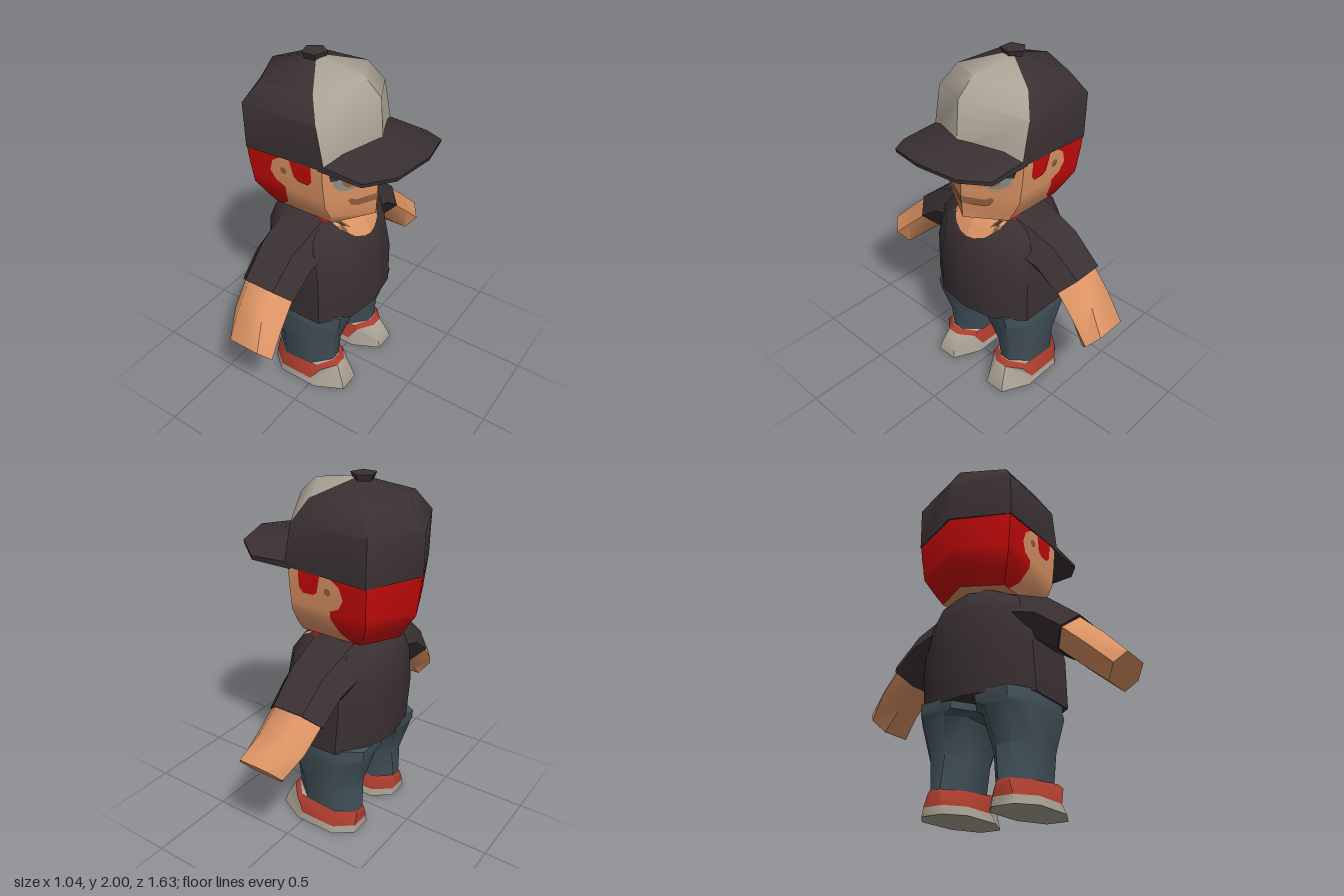
import * as THREE from 'three';
import { toCreasedNormals } from 'three/addons/utils/BufferGeometryUtils.js';

const mat = (name, color) => Object.assign(new THREE.MeshStandardMaterial({ color }), { name });
const dark = mat('charcoal', 0x3a3032), grey = mat('warmGrey', 0xaaa294), skin = mat('skin', 0xdd9465);
const red = mat('hairRed', 0xc60a0a), denim = mat('denim', 0x43525a), shoeRed = mat('shoeRed', 0xac3d2e);
const brown = mat('brown', 0x98613f), eyeGrey = mat('eyeGrey', 0x8e9090);

// Closed skin over rings of [x, y, z]; pick(row, col) chooses a material index
function loft(name, rings, mats, pick = () => 0, crease = 0.9) {
  const n = rings[0].length, P = rings.flat(), tris = mats.map(() => []);
  for (let r = 0; r < rings.length - 1; r++) for (let c = 0; c < n; c++) {
    const a = r * n + c, b = r * n + (c + 1) % n;
    tris[pick(r, c)].push([a, b, b + n], [a, b + n, a + n]);
  }
  const last = (rings.length - 1) * n;
  for (let c = 1; c < n - 1; c++) tris[0].push([0, c + 1, c], [last, last + c, last + c + 1]);
  const v = P.map(p => new THREE.Vector3(...p));
  const volume = tris.flat().reduce((s, [a, b, c]) => s + v[a].dot(v[b].clone().cross(v[c])), 0);
  const g = new THREE.BufferGeometry(), index = [];
  tris.forEach((list, m) => {
    g.addGroup(index.length, list.length * 3, m);
    list.forEach(([a, b, c]) => index.push(...(volume > 0 ? [a, b, c] : [a, c, b])));
  });
  g.setAttribute('position', new THREE.Float32BufferAttribute(P.flat(), 3));
  g.setIndex(index);
  const mesh = new THREE.Mesh(toCreasedNormals(g, crease), mats);
  mesh.name = name;
  return mesh;
}

// Thin painted plate: a 2D outline, subdivided and mapped onto a surface
function decal(name, outline, material, map, out) {
  const flat = new THREE.ShapeGeometry(new THREE.Shape(outline.map(p => new THREE.Vector2(...p)))).toNonIndexed();
  const pts = [], p = flat.attributes.position;
  for (let i = 0; i < p.count; i++) pts.push([p.getX(i), p.getY(i)]);
  let tris = [];
  for (let i = 0; i < pts.length; i += 3) tris.push(pts.slice(i, i + 3));
  const mid = (a, b) => [(a[0] + b[0]) / 2, (a[1] + b[1]) / 2];
  for (let k = 0; k < 2; k++) tris = tris.flatMap(([a, b, c]) => {
    const d = mid(a, b), e = mid(b, c), f = mid(c, a);
    return [[a, d, f], [d, b, e], [f, e, c], [d, e, f]];
  });
  const pos = tris.flatMap(t => {
    const [a, b, c] = t.map(q => new THREE.Vector3(...map(...q)));
    const normal = b.clone().sub(a).cross(c.clone().sub(a));
    return (normal.dot(out) > 0 ? [a, b, c] : [a, c, b]).flatMap(q => q.toArray());
  });
  const g = new THREE.BufferGeometry();
  g.setAttribute('position', new THREE.Float32BufferAttribute(pos, 3));
  g.computeVertexNormals();
  const mesh = new THREE.Mesh(g, material);
  mesh.name = name;
  return mesh;
}

// Full ring from a half profile running back centre to front centre
const mirrorRing = h => [...h, ...h.slice(1, -1).reverse().map(([x, y, z]) => [x, y, -z])];
const lerp = THREE.MathUtils.lerp;

// Half profile at height y, and the front surface x at (y, z)
function halfAt(rows, y) {
  let i = 0;
  while (i < rows.length - 2 && rows[i + 1][0][1] > y) i++;
  const a = rows[i], b = rows[i + 1];
  const t = THREE.MathUtils.clamp((a[0][1] - y) / (a[0][1] - b[0][1]), 0, 1);
  return a.map((p, k) => p.map((q, j) => lerp(q, b[k][j], t)));
}
function frontX(rows, y, z) {
  const h = halfAt(rows, y);
  let k = h.length - 1;
  while (k > 1 && h[k - 1][2] < Math.abs(z)) k--;
  return lerp(h[k][0], h[k - 1][0], Math.min(1, (Math.abs(z) - h[k][2]) / (h[k - 1][2] - h[k][2])));
}

// Eight-sided ring with cut corners
const oct = (y, xb, xf, zi, zo, eb = 0.1, ef = 0.1, d = 0.08) => [
  [xb, y, zi + d], [xb, y, zo - d], [xb + eb, y, zo], [xf - ef, y, zo],
  [xf, y, zo - d], [xf, y, zi + d], [xf - ef, y, zi], [xb + eb, y, zi]];
const ellipse = (cx, cy, rx, ry, a0 = 0, a1 = 2 * Math.PI) => Array.from({ length: 14 }, (_, i) => {
  const a = lerp(a0, a1, i / (a1 - a0 > 6 ? 14 : 13));
  return [cx + rx * Math.cos(a), cy + ry * Math.sin(a)];
});

export function createModel() {
  const model = new THREE.Group();
  const front = new THREE.Vector3(1, 0, 0);

  // Head: y, back, back corner, hairline, front corner, front, half width
  const headRows = [
    [1.62, -0.51, -0.38, -0.15, 0.09, 0.235, 0.305],
    [1.54, -0.51, -0.38, -0.16, 0.09, 0.235, 0.305],
    [1.50, -0.51, -0.38, -0.22, 0.09, 0.235, 0.303],
    [1.435, -0.505, -0.375, -0.24, 0.09, 0.233, 0.298],
    [1.38, -0.50, -0.37, -0.21, 0.09, 0.231, 0.291],
    [1.355, -0.495, -0.37, -0.155, 0.09, 0.23, 0.288],
    [1.31, -0.49, -0.365, -0.155, 0.09, 0.229, 0.282],
    [1.22, -0.43, -0.32, -0.185, 0.09, 0.225, 0.235],
    [1.168, -0.40, -0.29, -0.24, 0.08, 0.222, 0.205],
  ].map(([y, b, bc, h, fc, f, w]) => [[b, y, 0], [bc, y, w], [h, y, w], [fc, y, w], [f, y, 0]]);
  model.add(loft('head', headRows.map(mirrorRing), [skin, red], (r, c) => (c < 2 || c > 5 ? 1 : 0)));

  // Face and side-of-head paint, mirrored
  const faceParts = [
    ['eye', ellipse(0.155, 1.47, 0.098, 0.092, Math.PI, 2 * Math.PI), eyeGrey, 0.004],
    ['iris', ellipse(0.155, 1.447, 0.048, 0.05), brown, 0.006],
    ['pupil', ellipse(0.155, 1.453, 0.022, 0.025), skin, 0.008],
    ['eyebrow', [[0.055, 1.505], [0.07, 1.525], [0.245, 1.528], [0.245, 1.51], [0.275, 1.505], [0.265, 1.47],
      [0.23, 1.462], [0.2, 1.48], [0.07, 1.478]], dark, 0.009],
    ['mouth', [[0, 1.305], [0.12, 1.305], [0.15, 1.325], [0.165, 1.315], [0.14, 1.275], [0.11, 1.262], [0, 1.262]], brown, 0.005],
  ];
  for (const s of [-1, 1]) {
    const side = s < 0 ? 'left' : 'right';
    for (const [name, pts, m, lift] of faceParts)
      model.add(decal(`${side} ${name}`, pts, m, (z, y) => [frontX(headRows, y, z) + lift, y, s * z], front));
    const onSide = (x, y) => [x, y, s * (halfAt(headRows, y)[2][2] + 0.004)];
    const out = new THREE.Vector3(0, 0, s);
    model.add(decal(`${side} sideburn`, [[-0.11, 1.55], [-0.085, 1.445], [-0.06, 1.428], [0, 1.425], [0.025, 1.455], [0.025, 1.55]], red, onSide, out));
    model.add(decal(`${side} earHollow`, ellipse(-0.15, 1.462, 0.02, 0.02), brown, onSide, out));
  }

  // Cap crown with a lighter front panel
  const crown = [
    [[-0.52, 1.53, 0], [-0.38, 1.53, 0.312], [0.11, 1.55, 0.312], [0.252, 1.6, 0]],
    [[-0.52, 1.76, 0], [-0.385, 1.78, 0.312], [0.065, 1.78, 0.312], [0.232, 1.85, 0]],
    [[-0.43, 1.9, 0], [-0.32, 1.89, 0.24], [0, 1.9, 0.24], [0.13, 1.94, 0]],
    [[-0.19, 1.97, 0], [-0.18, 1.97, 0.03], [-0.13, 1.975, 0.03], [-0.12, 1.98, 0]],
  ];
  model.add(loft('capCrown', crown.map(mirrorRing), [dark, grey], (r, c) => (c === 2 || c === 3 ? 1 : 0)));

  // Arched brim: z, inner x, outer x, inner y, outer y
  const brim = [[-0.312, 0.07, 0.33, 1.575, 1.56], [-0.215, 0.12, 0.465, 1.615, 1.595], [0, 0.22, 0.517, 1.645, 1.62],
    [0.215, 0.12, 0.465, 1.615, 1.595], [0.312, 0.07, 0.33, 1.575, 1.56]];
  model.add(loft('capBrim', brim.map(([z, xi, xo, yi, yo]) =>
    [[xi, yi, z], [xo, yo, z], [xo - 0.005, yo - 0.022, z], [xi, yi - 0.035, z]]), [dark]));
  const button = new THREE.Mesh(new THREE.CylinderGeometry(0.07, 0.055, 0.035, 5).toNonIndexed(), dark);
  button.geometry.computeVertexNormals();
  button.geometry.rotateY(Math.PI);
  button.position.set(-0.16, 1.982, 0);
  button.name = 'capButton';
  model.add(button);

  // Neck and shirt: y, back, front, half width
  const neck = new THREE.Mesh(new THREE.CylinderGeometry(0.15, 0.15, 0.12, 10), skin);
  neck.position.set(-0.1, 1.13, 0);
  neck.name = 'neck';
  model.add(neck);
  const torsoRows = [[1.165, -0.32, 0.09, 0.2], [1.1, -0.37, 0.15, 0.28], [1.02, -0.39, 0.2, 0.33],
    [0.82, -0.4, 0.235, 0.35], [0.555, -0.38, 0.235, 0.355]]
    .map(([y, b, f, w]) => [[b, y, 0], [b + 0.03, y, 0.56 * w], [b + 0.15, y, w], [f - 0.15, y, w], [f - 0.03, y, 0.56 * w], [f, y, 0]]);
  model.add(loft('shirt', torsoRows.map(mirrorRing), [dark]));
  for (const s of [-1, 1]) {
    const onChest = (z, y) => [frontX(torsoRows, y, z) + 0.006, y, s * z];
    model.add(decal('neckline', [[0, 1.165], [0.17, 1.165], [0.165, 1.11], [0.11, 1.055], [0.05, 1.033], [0, 1.03]], skin, onChest, front));
    model.add(decal('neckHair', [[0.15, 1.165], [0.195, 1.165], [0.195, 1.14], [0.165, 1.14]], red,
      (z, y) => { const p = onChest(z, y); p[0] += 0.003; return p; }, front));
  }

  // Arm ring from its top and bottom [z, y] and its x range
  const armRing = (s, [tz, ty], [bz, by], xb, xf, d = 0.08) => {
    const mz = s * (tz + bz) / 2, my = (ty + by) / 2;
    return [[xb, my, mz], [xb + d, ty, s * tz], [xf - d, ty, s * tz], [xf, my, mz], [xf - d, by, s * bz], [xb + d, by, s * bz]];
  };
  for (const s of [-1, 1]) {
    const side = s < 0 ? 'left' : 'right';
    model.add(loft(`${side} sleeve`, [
      armRing(s, [0.18, 1.15], [0.18, 0.87], -0.31, 0.09),
      armRing(s, [0.43, 1.055], [0.35, 0.845], -0.295, 0.065),
      armRing(s, [0.6, 0.915], [0.465, 0.765], -0.285, 0.055)], [dark]));
    model.add(loft(`${side} arm`, [
      armRing(s, [0.57, 0.93], [0.45, 0.785], -0.275, 0.045),
      armRing(s, [0.705, 0.805], [0.59, 0.655], -0.255, 0.06),
      armRing(s, [0.815, 0.685], [0.705, 0.556], -0.2, 0.08, 0.05)], [skin]));

    // Trouser leg
    const flip = ring => ring.map(([x, y, z]) => [x, y, s * z]);
    model.add(loft(`${side} trouserLeg`, [
      oct(0.57, -0.36, 0.175, -0.005, 0.345, 0.13, 0.13), oct(0.515, -0.355, 0.165, -0.005, 0.348, 0.13, 0.13),
      oct(0.49, -0.345, 0.16, 0.045, 0.345), oct(0.3, -0.29, 0.1, 0.075, 0.325),
      oct(0.11, -0.298, 0.09, 0.095, 0.31)].map(flip), [denim]));

    // Shoe: grey sole and toe, red heel and collar
    const slope = (ring, k) => ring.map(([x, y, z]) => [x, y + Math.max(0, x + 0.05) * k, z]);
    model.add(loft(`${side} shoe`, [
      oct(0, -0.31, 0.197, 0.065, 0.352, 0.1, 0.16), oct(0.045, -0.308, 0.185, 0.07, 0.345, 0.1, 0.18),
      slope(oct(0.115, -0.304, 0.135, 0.088, 0.322, 0.1, 0.07), 0.18),
      slope(oct(0.127, -0.3, 0.1, 0.093, 0.316, 0.1, 0.07), 0.28)].map(flip),
    [grey, shoeRed], (r, c) => (r === 2 || (r === 1 && (c < 3 || c > 5)) ? 1 : 0)));
  }
  return model;
}
